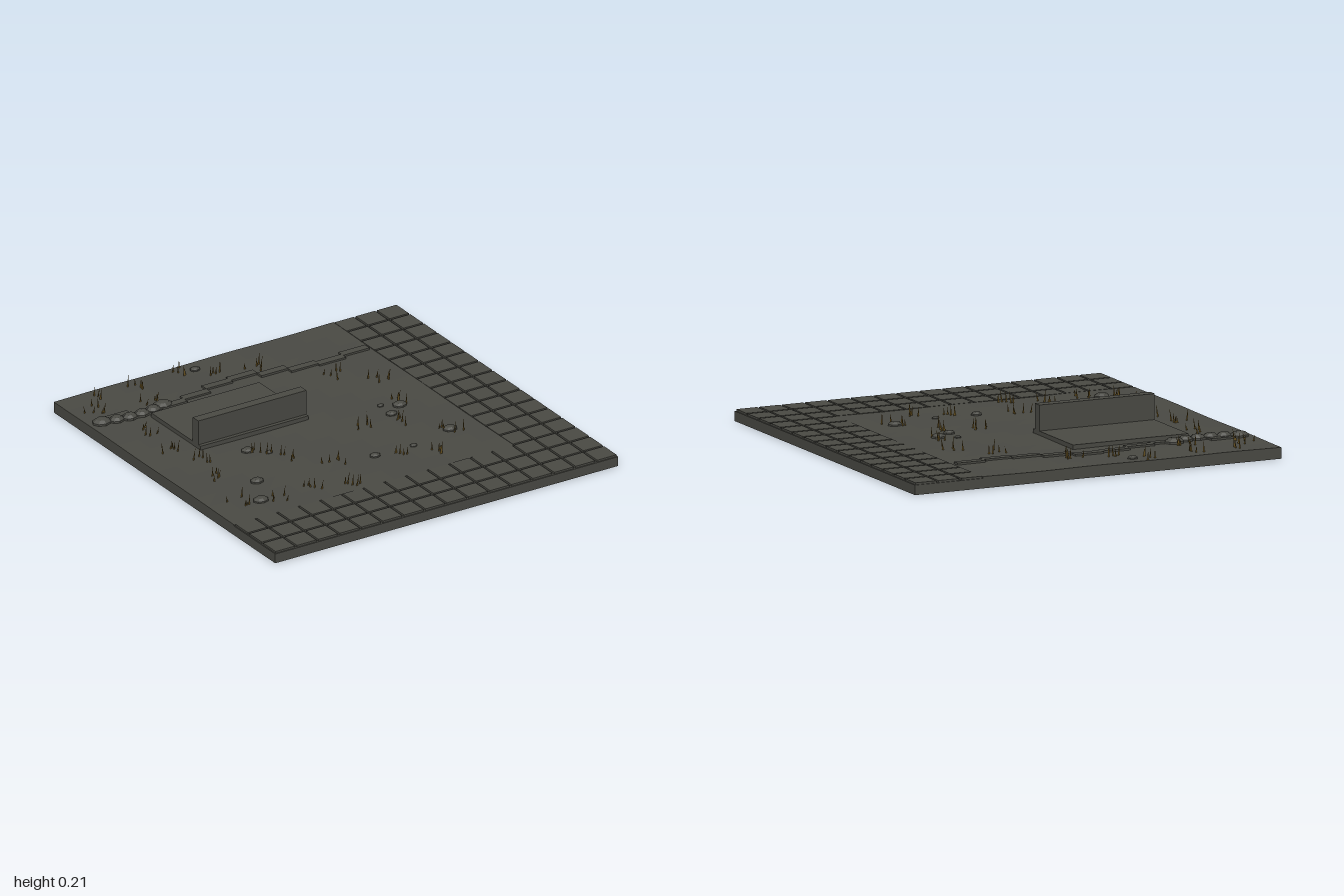
import * as THREE from 'three';

const mat = (name, color) => new THREE.MeshStandardMaterial({ name, color });

export function createModel() {
  const root = new THREE.Group();
  root.name = 'ruinedCourtyardTile';
  const stone = mat('dark stone', 0x4a4a44);
  const straw = mat('dry straw', 0x66501f);
  stone.flatShading = true;
  straw.side = THREE.DoubleSide;

  const add = (name, geo, material, x = 0, y = 0, z = 0, parent = root) => {
    const m = new THREE.Mesh(geo, material);
    m.name = name;
    m.position.set(x, y, z);
    parent.add(m);
    return m;
  };
  // box given by its x, y and z limits
  const block = (name, x0, x1, y0, y1, z0, z1, parent = root) =>
    add(name, new THREE.BoxGeometry(x1 - x0, y1 - y0, z1 - z0), stone,
      (x0 + x1) / 2, (y0 + y1) / 2, (z0 + z1) / 2, parent);
  const group = (name) => {
    const g = new THREE.Group();
    g.name = name;
    root.add(g);
    return g;
  };
  let seed = 7;
  const rand = () => (seed = (seed * 16807) % 2147483647) / 2147483647;

  block('baseSlab', -1, 1, 0, 0.05, -1, 1);

  // earth patch with a very slight swell
  const earth = new THREE.BoxGeometry(1.63, 0.009, 1.63, 14, 1, 14);
  const p = earth.attributes.position;
  for (let i = 0; i < p.count; i++) {
    if (p.getY(i) > 0) {
      p.setY(i, 0.0035 + 0.0015 * Math.sin(p.getX(i) * 9) * Math.cos(p.getZ(i) * 8));
    }
  }
  earth.computeVertexNormals();
  add('earth', earth, stone, -0.185, 0.0545, -0.185);

  // paving three tiles deep along the front and left edges
  const paving = group('paving');
  const pitch = 0.125, gap = 0.006;
  for (let i = 0; i < 16; i++) {
    for (let j = 0; j < 16; j++) {
      if (i < 13 && j < 13) continue;
      const x = -1 + i * pitch, z = -1 + j * pitch;
      block('pavingTile', x + gap, x + pitch - gap, 0.045, 0.06,
        z + gap, z + pitch - gap, paving);
    }
  }

  // platform with its standing wall
  block('platform', -0.69, -0.06, 0.045, 0.08, -0.6, -0.155);
  block('wall', -0.69, -0.06, 0.07, 0.21, -0.225, -0.175);

  // stepped kerb winding along the back
  const kerb = group('kerb');
  [-0.69, -0.645, -0.655, -0.68, -0.72, -0.735, -0.695, -0.66, -0.645, -0.67]
    .forEach((z, i) => {
      const x = -0.917 + i * 0.153;
      block('kerbBlock', x, x + 0.155, 0.045, 0.068, z - 0.021, z + 0.021, kerb);
    });

  // squashed stones: a row on the kerb, then loose ones
  const pebble = new THREE.SphereGeometry(1, 8, 5);
  const rock = (name, x, z, r, h, parent) =>
    add(name, pebble, stone, x, 0.06, z, parent).scale.set(r, h, r * 0.8);
  const row = group('stoneRow');
  [[-0.93, -0.675], [-0.855, -0.657], [-0.785, -0.647], [-0.715, -0.647],
    [-0.645, -0.655], [-0.575, -0.675]].forEach(([x, z], i) =>
    rock('rowStone', x, z, i % 5 ? 0.043 : 0.053, 0.027, row));
  const loose = group('looseStones');
  [[-0.5, -0.025, 0.035], [-0.42, 0.047, 0.02], [-0.645, 0.285, 0.037],
    [-0.745, 0.475, 0.043], [-0.005, 0.36, 0.03], [0.215, 0.368, 0.02],
    [0.465, 0.308, 0.04], [0.315, 0.013, 0.032], [0.32, -0.093, 0.018],
    [0.403, -0.05, 0.04], [-0.225, -0.925, 0.028]].forEach(([x, z, r]) =>
    rock('looseStone', x, z, r, r * 0.5, loose));

  // dry grass: flat upright blades gathered in tufts
  const grass = group('dryGrass');
  const tufts = [[-0.82, -0.9], [-0.6, -0.92], [-0.32, -0.94], [-0.18, -0.83],
    [-0.9, -0.8], [-0.6, -0.72], [-0.78, -0.47], [-0.83, -0.24], [-0.75, -0.06],
    [-0.79, 0.15], [-0.85, 0.44], [-0.67, 0.5], [-0.45, 0.5], [-0.28, 0.55],
    [-0.46, 0.03], [-0.22, 0.33], [-0.4, 0.15], [0.13, 0.06], [0.28, 0.12],
    [0.47, 0.32], [0.41, -0.09], [0.31, -0.49], [0.48, -0.35], [0.03, -0.77],
    [0.1, 0.4], [0.3, 0.5]];
  for (const [tx, tz] of tufts) {
    const shape = [];
    for (let k = 0; k < 5; k++) {
      const x = (rand() - 0.5) * 0.1, z = (rand() - 0.5) * 0.1;
      const h = 0.035 + rand() * 0.035, lean = (rand() - 0.4) * 0.02;
      shape.push(x - 0.005, 0, z, x + 0.005, 0, z, x + lean, h, z);
    }
    const geo = new THREE.BufferGeometry();
    geo.setAttribute('position', new THREE.Float32BufferAttribute(shape, 3));
    geo.computeVertexNormals();
    add('grassTuft', geo, straw, tx, 0.057, tz, grass);
  }
  return root;
}
